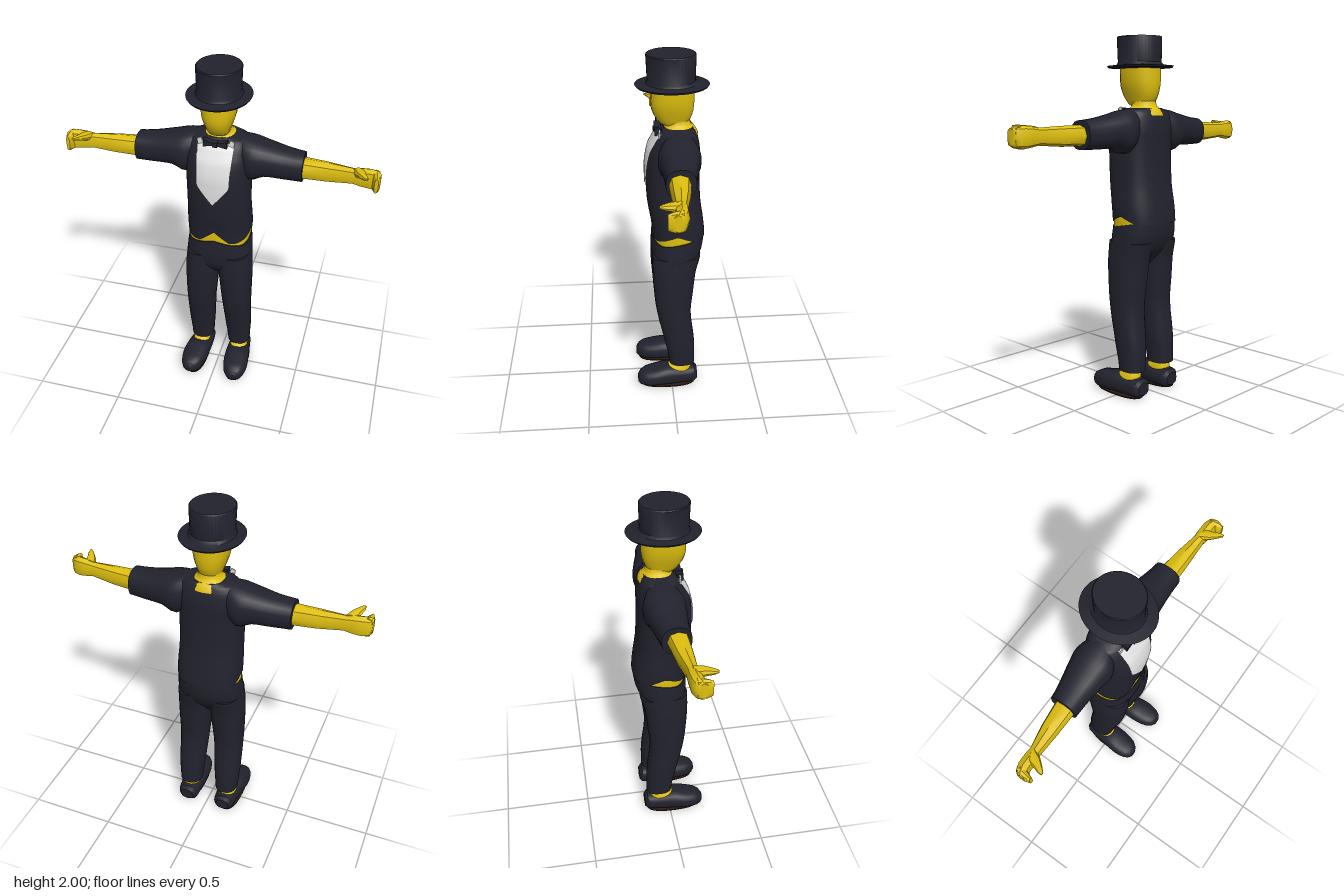
import * as THREE from 'three';
import { toCreasedNormals } from 'three/addons/utils/BufferGeometryUtils.js';

const paint = (name, color, side = THREE.FrontSide) => {
  const m = new THREE.MeshStandardMaterial({ color, side });
  m.name = name;
  return m;
};

// Swaps the loft axis: rings run along y by default, or along x or z
const AXES = {
  y: (u, t, v) => [u, t, v],
  x: (u, t, v) => [t, v, u],
  z: (u, t, v) => [v, u, t],
};

// Adds smoothly interpolated rings between the given ones
function refine(rings, steps) {
  if (steps < 2) return rings;
  const out = [];
  const at = (i) => rings[Math.min(Math.max(i, 0), rings.length - 1)];
  for (let i = 0; i < rings.length - 1; i++) {
    for (let s = 0; s < steps; s++) {
      const f = s / steps;
      out.push(at(i).map((p1, k) => {
        const p2 = at(i + 1)[k];
        if (k === 0) return p1 + (p2 - p1) * f;
        const m1 = (p2 - at(i - 1)[k]) / 2, m2 = (at(i + 2)[k] - p1) / 2;
        const d = p1 - p2;
        return p1 + m1 * f + (-3 * d - 2 * m1 - m2) * f * f + (2 * d + m1 + m2) * f * f * f;
      }));
    }
  }
  out.push(rings[rings.length - 1]);
  return out;
}

// Closed skin over superellipse rings [t, centreU, centreV, radiusU, radiusV]
function loft(rings, { axis = 'y', sides = 24, n = 2.3, steps = 3, crease = 0.7, warp, mirror = false } = {}) {
  const rows = refine(rings, steps), pos = [], index = [];
  const put = (u, t, v) => {
    const p = AXES[axis](u, t, v);
    if (warp) warp(p);
    pos.push(mirror ? -p[0] : p[0], p[1], p[2]);
  };
  const tri = (a, b, c) => (mirror ? index.push(a, c, b) : index.push(a, b, c));
  const pw = (c) => Math.sign(c) * Math.pow(Math.abs(c), 2 / n);
  for (const [t, cu, cv, ru, rv] of rows) {
    for (let i = 0; i < sides; i++) {
      const a = (i / sides) * Math.PI * 2;
      put(cu + ru * pw(Math.cos(a)), t, cv + rv * pw(Math.sin(a)));
    }
  }
  const last = rows.length - 1, base = rows.length * sides;
  for (const r of [rows[0], rows[last]]) put(r[1], r[0], r[2]);
  for (let i = 0; i < sides; i++) {
    const j = (i + 1) % sides;
    for (let r = 0; r < last; r++) {
      const a = r * sides + i, b = a + sides, c = (r + 1) * sides + j, d = r * sides + j;
      tri(a, b, c);
      tri(a, c, d);
    }
    tri(base, i, j);
    tri(base + 1, last * sides + j, last * sides + i);
  }
  const g = new THREE.BufferGeometry();
  g.setAttribute('position', new THREE.Float32BufferAttribute(pos, 3));
  g.setIndex(index);
  return toCreasedNormals(g, crease);
}

const clamp = THREE.MathUtils.clamp;

const TORSO = [
  [0.985, 0, -0.042, 0.179, 0.149], [1.06, 0, -0.036, 0.18, 0.148], [1.2, 0, -0.017, 0.174, 0.147],
  [1.4, 0, -0.01, 0.175, 0.146], [1.5, 0, -0.02, 0.175, 0.137], [1.57, 0, -0.032, 0.166, 0.112],
  [1.6, 0, -0.036, 0.145, 0.095], [1.615, 0, -0.04, 0.1, 0.08],
];
const TORSO_N = 2.5;

// Front surface of the jacket, used to lay the shirt front on it
const torsoRows = refine(TORSO, 3);
function jacketFront(x, y) {
  let i = 0;
  while (i < torsoRows.length - 2 && torsoRows[i + 1][0] < y) i++;
  const a = torsoRows[i], b = torsoRows[i + 1], f = clamp((y - a[0]) / (b[0] - a[0]), 0, 1);
  const [, , cz, rx, rz] = a.map((p, k) => p + (b[k] - p) * f);
  return cz + rz * Math.pow(Math.max(0, 1 - Math.pow(Math.abs(x) / rx, TORSO_N)), 1 / TORSO_N);
}

function shirtFrontGeometry() {
  const g = new THREE.PlaneGeometry(2, 1, 12, 24), p = g.attributes.position;
  for (let i = 0; i < p.count; i++) {
    const y = 1.255 + (p.getY(i) + 0.5) * 0.345;
    const x = p.getX(i) * Math.min(0.088 + Math.max(0, y - 1.37) * 0.04, (y - 1.255) * 0.78);
    p.setXYZ(i, x, y, jacketFront(x, y) + 0.007);
  }
  g.computeVertexNormals();
  return g;
}

export function createModel() {
  const cloth = paint('dark cloth', 0x22222e);
  const skin = paint('yellow skin', 0xdfc00f);
  const white = paint('white shirt', 0xe4e4e4, THREE.DoubleSide);
  const brown = paint('brown sole', 0x2e1c14);

  const model = new THREE.Group();
  model.name = 'figure';
  const add = (name, geometry, material) => {
    const mesh = new THREE.Mesh(geometry, material);
    mesh.name = name;
    model.add(mesh);
  };
  const addPair = (name, rings, material, opts = {}) => {
    add('left' + name, loft(rings, opts), material);
    add('right' + name, loft(rings, { ...opts, mirror: true }), material);
  };

  // Top hat
  add('topHat', loft([
    [1.828, 0, -0.01, 0.1, 0.115], [1.832, 0, -0.01, 0.164, 0.188], [1.842, 0, -0.01, 0.17, 0.195],
    [1.848, 0, -0.01, 0.122, 0.138], [1.862, 0, -0.006, 0.114, 0.126], [1.995, 0, -0.004, 0.118, 0.13],
    [2, 0, -0.004, 0.114, 0.126],
  ], { n: 2, steps: 1, sides: 40 }), cloth);

  // Head and neck
  add('head', loft([
    [1.612, 0, -0.03, 0.045, 0.042], [1.635, 0, -0.02, 0.056, 0.075], [1.68, 0, -0.014, 0.071, 0.103],
    [1.73, 0, -0.011, 0.086, 0.115], [1.78, 0, -0.011, 0.093, 0.116], [1.84, 0, -0.011, 0.096, 0.115],
  ], { sides: 20, steps: 2, n: 2.5 }), skin);
  add('neck', loft([
    [1.575, 0, -0.048, 0.1, 0.1], [1.605, 0, -0.046, 0.092, 0.086], [1.625, 0, -0.04, 0.065, 0.07],
    [1.68, 0, -0.035, 0.055, 0.065],
  ], { sides: 20 }), skin);

  // Jacket, with the hem cut up at the front and at both sides
  add('jacket', loft(TORSO, {
    sides: 64, n: TORSO_N,
    warp: (p) => {
      const front = p[2] > 0 ? 0.07 * Math.max(0, 1 - Math.abs(p[0]) / 0.085) : 0;
      const side = Math.abs(p[0]) > 0.12 ? 0.045 * Math.max(0, 1 - Math.abs(p[2] + 0.03) / 0.11) : 0;
      p[1] += (front + side) * clamp(1 - (p[1] - 0.985) / 0.15, 0, 1);
    },
  }), cloth);
  addPair('Sleeve', [
    [0.08, -0.04, 1.53, 0.07, 0.085], [0.17, -0.036, 1.488, 0.112, 0.117], [0.25, -0.033, 1.493, 0.103, 0.093],
    [0.35, -0.028, 1.483, 0.087, 0.083], [0.453, -0.021, 1.478, 0.076, 0.077],
  ], cloth, { axis: 'x', n: 2.4 });

  // Shirt front, collar points and bow tie
  add('shirtFront', shirtFrontGeometry(), white);
  for (const s of [1, -1]) {
    const wing = new THREE.Shape([[0.055, 1.575], [0.094, 1.57], [0.1, 1.612], [0.078, 1.622], [0.07, 1.6]]
      .map(([x, y]) => new THREE.Vector2(x * s, y)));
    const g = new THREE.ExtrudeGeometry(wing, { depth: 0.008, bevelEnabled: false });
    g.translate(0, 0, 0.058);
    add(s > 0 ? 'leftCollarPoint' : 'rightCollarPoint', g, white);
  }
  const bow = new THREE.Shape([
    [-0.063, 1.58], [-0.015, 1.589], [0.015, 1.589], [0.063, 1.58],
    [0.063, 1.618], [0.015, 1.608], [-0.015, 1.608], [-0.063, 1.618],
  ].map(([x, y]) => new THREE.Vector2(x, y)));
  const bowGeometry = new THREE.ExtrudeGeometry(bow, { depth: 0.035, bevelEnabled: false });
  bowGeometry.translate(0, 0, 0.05);
  add('bowTie', bowGeometry, cloth);
  const knot = new THREE.BoxGeometry(0.026, 0.026, 0.03);
  knot.translate(0, 1.598, 0.077);
  add('bowTieKnot', knot, cloth);

  // Forearms and cupped hands
  addPair('Forearm', [
    [0.4, -0.018, 1.475, 0.06, 0.057], [0.58, -0.008, 1.475, 0.047, 0.052], [0.71, 0.002, 1.477, 0.031, 0.044],
    [0.75, 0.004, 1.477, 0.036, 0.052], [0.8, 0.006, 1.476, 0.036, 0.058], [0.835, 0.016, 1.476, 0.034, 0.055],
    [0.85, 0.026, 1.476, 0.024, 0.044],
  ], skin, { axis: 'x', sides: 8, steps: 1 });
  addPair('Fingers', [
    [0, 1.476, 0.822, 0.055, 0.026], [0.045, 1.476, 0.831, 0.052, 0.02], [0.072, 1.476, 0.832, 0.042, 0.01],
  ], skin, { axis: 'z', sides: 10, steps: 1, n: 2.8 });
  addPair('Thumb', [
    [0, 1.5, 0.735, 0.03, 0.035], [0.05, 1.514, 0.752, 0.02, 0.027], [0.085, 1.523, 0.772, 0.013, 0.018],
    [0.107, 1.528, 0.782, 0.006, 0.008],
  ], skin, { axis: 'z', sides: 8, steps: 1 });

  // Hips, showing between jacket and trousers
  add('hips', loft([
    [0.92, 0, -0.037, 0.17, 0.138], [1.0, 0, -0.04, 0.174, 0.143], [1.1, 0, -0.036, 0.168, 0.138],
  ], { sides: 40, n: 2.5 }), skin);

  // Trousers, with the waist dipping at the sides
  add('trouserSeat', loft([
    [0.74, 0, -0.012, 0.06, 0.06], [0.79, 0, -0.012, 0.165, 0.1], [0.84, 0, -0.022, 0.185, 0.128],
    [0.91, 0, -0.034, 0.183, 0.145], [0.995, 0, -0.04, 0.177, 0.147],
  ], {
    sides: 48, n: 2.5,
    warp: (p) => {
      const dip = 0.037 * Math.min(1, Math.abs(p[0]) / 0.16) * clamp((p[2] + 0.13) / 0.19, 0, 1);
      p[1] -= dip * clamp((p[1] - 0.9) / 0.09, 0, 1);
    },
  }), cloth);
  addPair('TrouserLeg', [
    [0.15, 0.116, -0.062, 0.066, 0.076], [0.3, 0.114, -0.046, 0.076, 0.088], [0.5, 0.108, -0.014, 0.084, 0.098],
    [0.65, 0.102, -0.012, 0.092, 0.113], [0.78, 0.096, -0.015, 0.096, 0.124], [0.88, 0.092, -0.028, 0.092, 0.136],
  ], cloth, { n: 2.4 });

  // Ankles, shoes and soles
  addPair('Ankle', [
    [0.08, 0.122, -0.03, 0.056, 0.088], [0.125, 0.12, -0.046, 0.049, 0.068], [0.145, 0.118, -0.06, 0.042, 0.046],
    [0.22, 0.117, -0.06, 0.042, 0.046],
  ], skin, { sides: 14, steps: 2 });
  addPair('Shoe', [
    [-0.152, 0.055, 0.118, 0.035, 0.04], [-0.135, 0.058, 0.118, 0.052, 0.058], [-0.07, 0.06, 0.12, 0.055, 0.066],
    [0.03, 0.066, 0.127, 0.061, 0.074], [0.1, 0.06, 0.132, 0.055, 0.075], [0.16, 0.054, 0.135, 0.049, 0.063],
    [0.19, 0.049, 0.137, 0.039, 0.044], [0.205, 0.045, 0.138, 0.022, 0.022],
  ], cloth, { axis: 'z', n: 2.6 });
  addPair('Sole', [
    [0, 0.128, 0.025, 0.062, 0.162], [0.009, 0.128, 0.025, 0.065, 0.166],
  ], brown, { steps: 1, n: 2.4 });

  return model;
}
